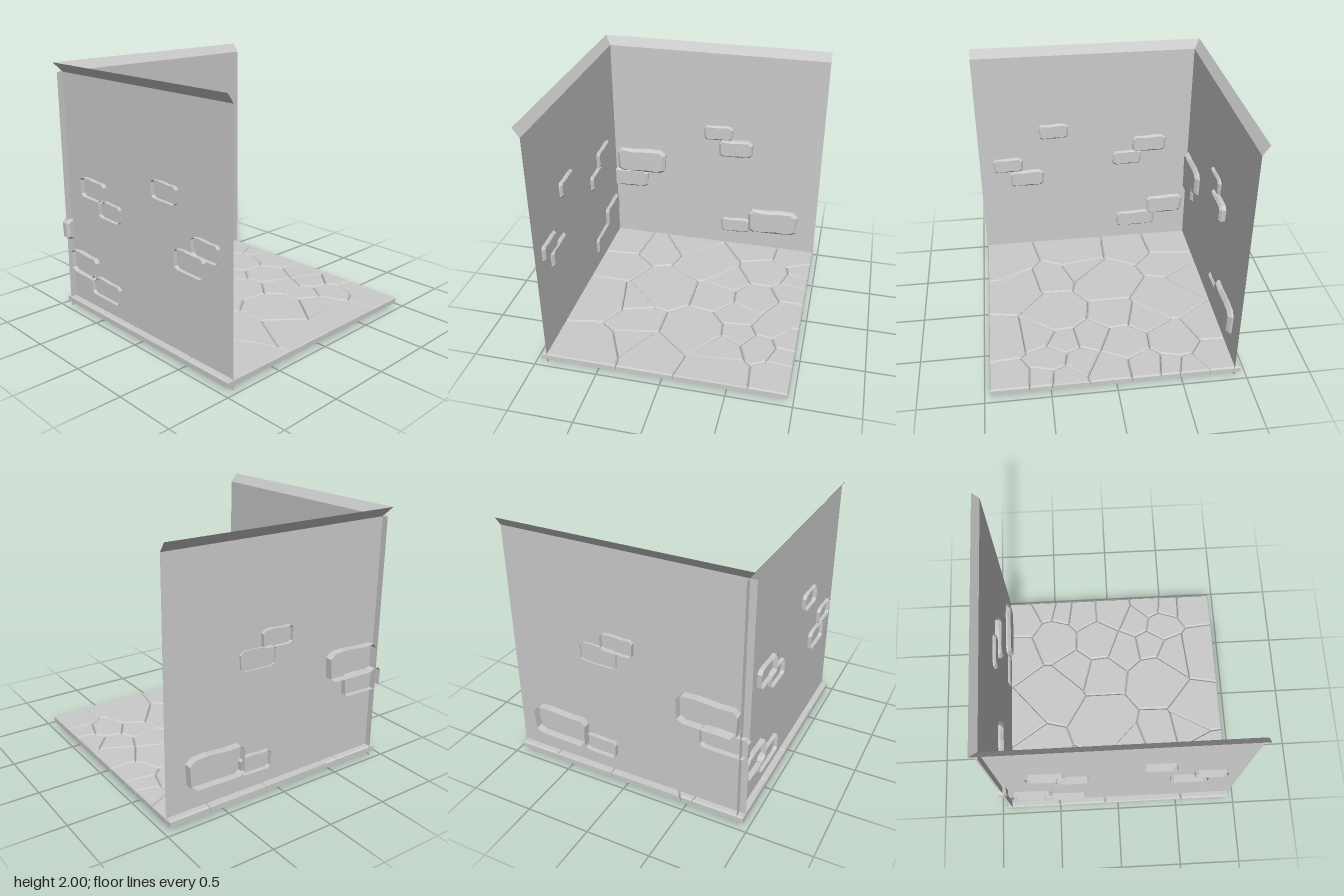
import * as THREE from 'three';

const material = new THREE.MeshStandardMaterial({ color: 0xcccccc, flatShading: true, side: THREE.DoubleSide });

function meshFrom(positions, name) {
  const geometry = new THREE.BufferGeometry();
  geometry.setAttribute('position', new THREE.Float32BufferAttribute(positions, 3));
  geometry.computeVertexNormals();
  const mesh = new THREE.Mesh(geometry, material);
  mesh.name = name;
  return mesh;
}

// Bevelled block with an open back: sides, bevel and front face from one outline in xy
function shell(outline, back, front, bevel, name) {
  const n = outline.length;
  const cx = outline.reduce((s, p) => s + p[0], 0) / n;
  const cy = outline.reduce((s, p) => s + p[1], 0) / n;
  const inset = outline.map(([x, y]) => {
    const k = Math.min(0.4, bevel * 1.2 / Math.hypot(cx - x, cy - y));
    return [x + (cx - x) * k, y + (cy - y) * k];
  });
  const rings = [[outline, back], [outline, front - bevel], [inset, front]]
    .map(([loop, z]) => loop.map(([x, y]) => [x, y, z]));
  const out = [];
  for (let i = 0; i < n; i++) {
    const j = (i + 1) % n;
    for (let r = 0; r < 2; r++) {
      const [a, b, c, d] = [rings[r][i], rings[r][j], rings[r + 1][j], rings[r + 1][i]];
      out.push(...a, ...b, ...c, ...a, ...c, ...d);
    }
    out.push(...rings[2][i], ...rings[2][j], cx, cy, front);
  }
  return meshFrom(out, name);
}

// Keep the part of a polygon where nx * x + ny * y <= limit
function clip(polygon, nx, ny, limit) {
  const result = [];
  polygon.forEach((p, i) => {
    const q = polygon[(i + 1) % polygon.length];
    const dp = nx * p[0] + ny * p[1] - limit;
    const dq = nx * q[0] + ny * q[1] - limit;
    if (dp <= 0) result.push(p);
    if (dp * dq < 0) {
      const t = dp / (dp - dq);
      result.push([p[0] + (q[0] - p[0]) * t, p[1] + (q[1] - p[1]) * t]);
    }
  });
  return result;
}

// Paving stones: centre x, centre z, relative radius
const STONES = [
  [-0.76, -0.71, 0.17], [-0.44, -0.67, 0.14], [-0.20, -0.83, 0.14], [0.05, -0.54, 0.20],
  [0.46, -0.83, 0.12], [0.79, -0.81, 0.13], [0.58, -0.51, 0.15], [0.28, -0.33, 0.10],
  [0.90, -0.58, 0.06], [0.86, -0.43, 0.06], [0.83, -0.25, 0.09], [-0.73, -0.35, 0.14],
  [-0.75, 0.19, 0.22], [-0.45, 0.13, 0.10], [-0.24, -0.08, 0.21], [0.21, -0.08, 0.11],
  [0.56, -0.11, 0.14], [0.46, 0.13, 0.09], [0.83, 0.04, 0.11], [0.73, 0.25, 0.08],
  [0.13, 0.41, 0.19], [0.49, 0.37, 0.07], [0.38, 0.60, 0.12], [0.68, 0.49, 0.09],
  [0.89, 0.39, 0.08], [0.87, 0.55, 0.06], [-0.36, 0.40, 0.12], [-0.32, 0.63, 0.07],
  [-0.64, 0.78, 0.18], [-0.14, 0.73, 0.13], [0.40, 0.83, 0.16], [0.86, 0.79, 0.10],
];

function createFloor() {
  const floor = new THREE.Group();
  floor.name = 'floor';
  const e = 0.957;
  STONES.forEach(([x, z, r], i) => {
    let cell = [[-e, -e], [e, -e], [e, e], [-e, e]];
    // cut the cell along the weighted border with every other stone
    STONES.forEach(([x2, z2, r2], j) => {
      if (i === j) return;
      const nx = x2 - x, ny = z - z2, d = Math.hypot(nx, ny);
      const reach = (d * d + r * r - r2 * r2) / (2 * d) - 0.002;
      cell = clip(cell, nx / d, ny / d, (x * nx - z * ny) / d + reach);
    });
    if (cell.length > 2) floor.add(shell(cell, 0.03, 0.08, 0.011, 'pavingStone'));
  });
  floor.rotation.x = -Math.PI / 2;
  return floor;
}

// Worn brick: chamfered corners and a slightly wavy top edge
function brick([u0, u1, v0, v1, back, front]) {
  const w = u1 - u0, h = v1 - v0, c = h * 0.14;
  const outline = [
    [u0 + c * 1.4, v0], [u0 + w * 0.6, v0 + h * 0.02], [u1 - c * 1.6, v0 + h * 0.04],
    [u1 - c * 0.3, v0 + c * 1.1], [u1, v1 - c * 1.3], [u1 - c * 1.2, v1 - c * 0.2],
    [u0 + w * 0.68, v1], [u0 + w * 0.3, v1 - h * 0.06], [u0 + c, v1 - h * 0.05],
    [u0, v1 - c * 1.5], [u0 + c * 0.2, v0 + c * 0.8],
  ];
  return shell(outline, back, front, h * 0.1, 'brick');
}

// Wall facing +z with an outward flared top, mitred on the corner side (-1 or 1)
function createWall(name, corner, bricks) {
  const wall = new THREE.Group();
  wall.name = name;
  const e = 0.96, z = -0.91, y = 1.93;
  const left = corner < 0 ? z : -e, right = corner > 0 ? -z : e;
  const quad = (a, b, c, d) => [...a, ...b, ...c, ...a, ...c, ...d];
  wall.add(meshFrom(quad([-e, 0, z], [e, 0, z], [e, y, z], [-e, y, z]), 'wallPanel'));
  wall.add(meshFrom(quad([left, y, z], [right, y, z], [e, 2, -e], [-e, 2, -e]), 'wallFlare'));
  bricks.forEach((b) => wall.add(brick(b)));
  return wall;
}

export function createModel() {
  const model = new THREE.Group();
  model.name = 'roomCorner';
  model.add(createFloor());

  // Bricks: left, right, bottom, top, back depth, front depth
  model.add(createWall('backWall', -1, [
    [-0.08, 0.18, 1.14, 1.28, -0.94, -0.885],
    [0.06, 0.36, 1.0, 1.16, -0.925, -0.86],
    [-0.89, -0.43, 0.74, 0.98, -0.97, -0.87],
    [-0.97, -0.6, 0.58, 0.76, -0.95, -0.885],
    [0.34, 0.8, 0.24, 0.49, -0.97, -0.87],
    [0.09, 0.36, 0.21, 0.36, -0.945, -0.89],
  ]));

  const sideWall = createWall('sideWall', 1, [
    [-0.43, -0.17, 1.17, 1.31, -0.94, -0.885],
    [-0.84, -0.58, 0.86, 1.0, -0.94, -0.885],
    [-0.7, -0.4, 0.71, 0.87, -0.94, -0.885],
    [0.22, 0.48, 0.87, 1.01, -0.94, -0.885],
    [0.4, 0.7, 0.99, 1.15, -0.945, -0.885],
    [0.54, 0.88, 0.32, 0.51, -0.95, -0.885],
    [0.26, 0.62, 0.2, 0.36, -0.94, -0.89],
  ]);
  sideWall.rotation.y = Math.PI / 2;
  model.add(sideWall);
  return model;
}
